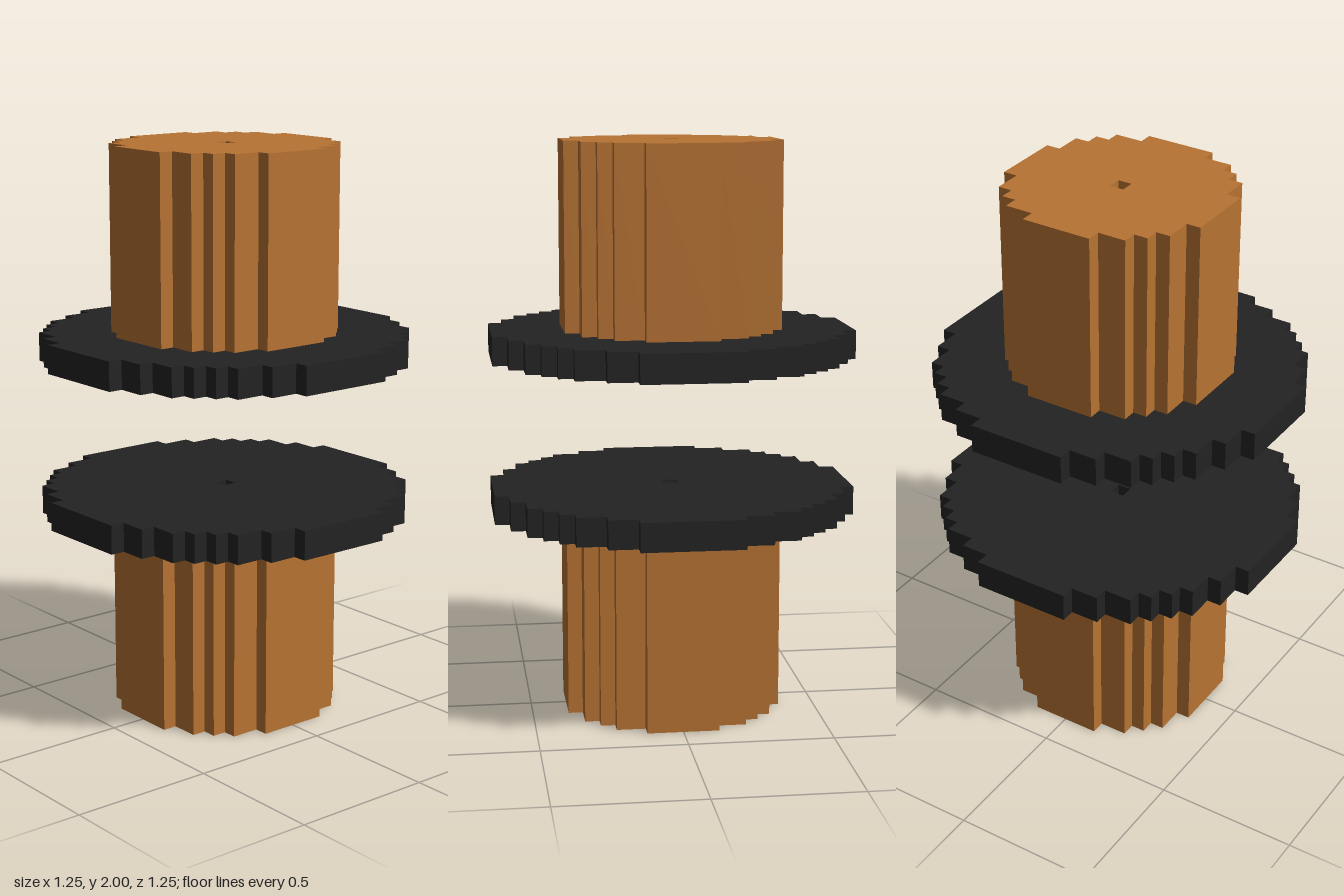
import * as THREE from 'three';

const copper = new THREE.MeshStandardMaterial({ color: 0xb87333 });
copper.name = 'copper';
const black = new THREE.MeshStandardMaterial({ color: 0x232323 });
black.name = 'black';

// Outer corners of one quarter of each stepped circle, from +x round to +y
const RODSTEPS = [[0.375, 0.125], [0.325, 0.225], [0.275, 0.275], [0.225, 0.325], [0.125, 0.375]];
const DISCSTEPS = [
  [0.625, 0.175], [0.575, 0.275], [0.525, 0.375], [0.475, 0.425],
  [0.425, 0.475], [0.375, 0.525], [0.275, 0.575], [0.175, 0.625],
];
const HOLE = 0.025;

// Repeats the quarter staircase four times and cuts the square centre hole
function steppedCircle(steps) {
  const points = [];
  for (let q = 0; q < 4; q++) {
    const turn = ([x, y]) => {
      for (let i = 0; i < q; i++) [x, y] = [-y, x];
      return new THREE.Vector2(x, y);
    };
    steps.forEach(([x, y], i) => {
      if (i > 0) points.push(turn([x, steps[i - 1][1]]));
      points.push(turn([x, y]));
    });
  }
  const shape = new THREE.Shape(points);
  shape.holes.push(new THREE.Path([
    new THREE.Vector2(-HOLE, -HOLE), new THREE.Vector2(-HOLE, HOLE),
    new THREE.Vector2(HOLE, HOLE), new THREE.Vector2(HOLE, -HOLE),
  ]));
  return shape;
}

// Upright prism between two heights
function prism(name, steps, bottom, top, material) {
  const geometry = new THREE.ExtrudeGeometry(steppedCircle(steps), { depth: top - bottom, bevelEnabled: false });
  geometry.rotateX(-Math.PI / 2);
  const mesh = new THREE.Mesh(geometry, material);
  mesh.position.y = bottom;
  mesh.name = name;
  return mesh;
}

export function createModel() {
  const group = new THREE.Group();
  group.name = 'pairedRodsWithDiscs';
  group.add(
    prism('lowerRod', RODSTEPS, 0, 0.7, copper),
    prism('lowerDisc', DISCSTEPS, 0.7, 0.8, black),
    prism('upperDisc', DISCSTEPS, 1.25, 1.35, black),
    prism('upperRod', RODSTEPS, 1.35, 2, copper),
  );
  return group;
}
